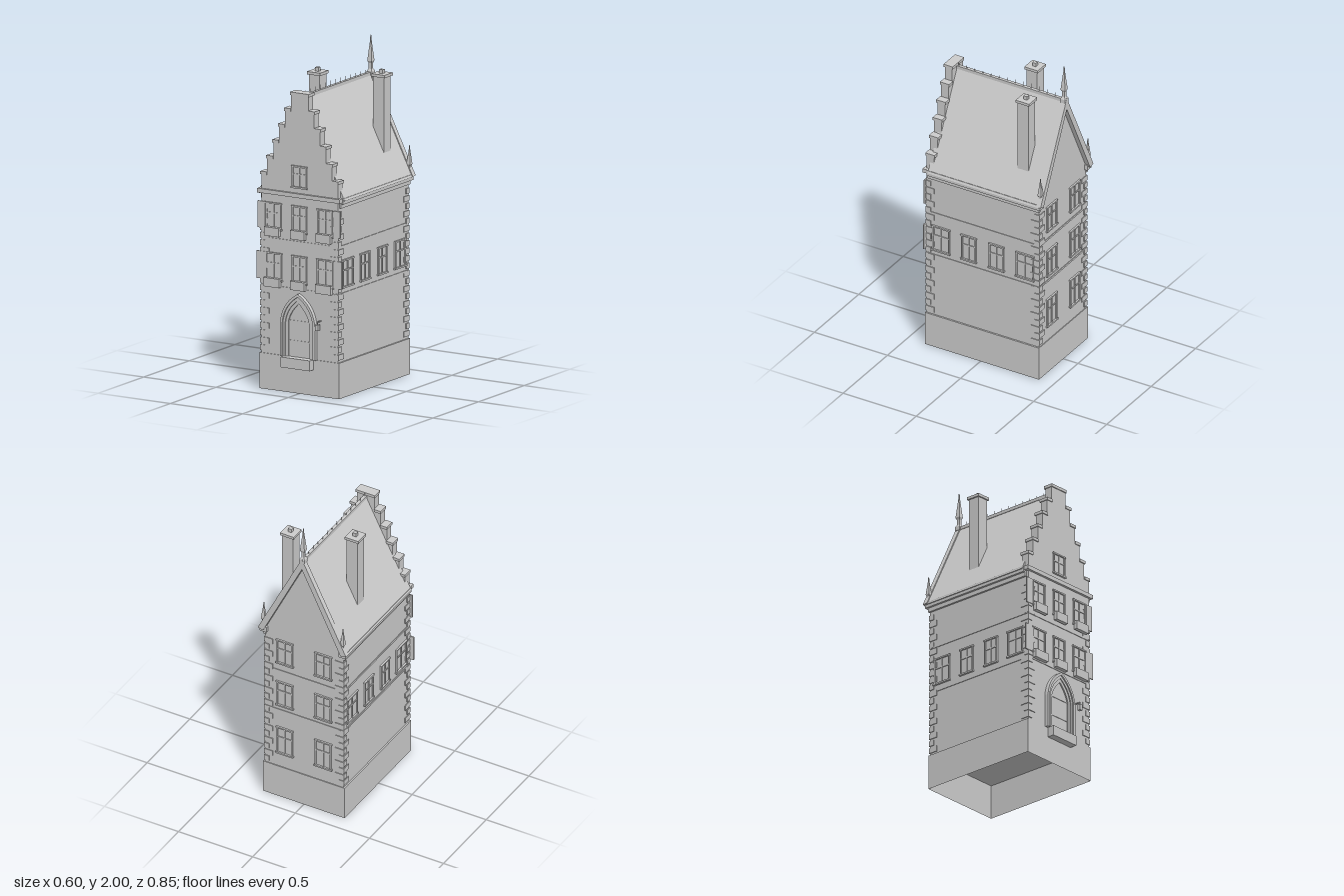
import * as THREE from 'three';

const mat = new THREE.MeshStandardMaterial({ color: 0xcccccc, flatShading: true });
const shellMat = new THREE.MeshStandardMaterial({ color: 0xcccccc, flatShading: true, side: THREE.DoubleSide });

// wall extents
const WX = 0.265, ZF = 0.375, ZB = -0.395, PLINTH = 0.215, EAVE = 1.18;

function add(parent, name, geo, material = mat) {
  const mesh = new THREE.Mesh(geo, material);
  mesh.name = name;
  parent.add(mesh);
  return mesh;
}

// box given by its minimum and maximum on each axis
function box(parent, name, x0, x1, y0, y1, z0, z1) {
  const mesh = add(parent, name, new THREE.BoxGeometry(x1 - x0, y1 - y0, z1 - z0));
  mesh.position.set((x0 + x1) / 2, (y0 + y1) / 2, (z0 + z1) / 2);
  return mesh;
}

// flat outline pushed from z0 to z1
function slab(parent, name, shape, z0, z1) {
  const geo = new THREE.ExtrudeGeometry(shape, { depth: z1 - z0, bevelEnabled: false, curveSegments: 10 });
  geo.translate(0, 0, z0);
  return add(parent, name, geo);
}

const outline = (pts) => new THREE.Shape(pts.map(([x, y]) => new THREE.Vector2(x, y)));

function chevron(ox, oy, otop, ix, iy, itop) {
  return outline([[-ox, oy], [-ix, iy], [0, itop], [ix, iy], [ox, oy], [0, otop]]);
}

// pointed arch standing on the plinth
function arch(w, top) {
  const s = new THREE.Shape();
  s.moveTo(-w, PLINTH);
  s.lineTo(w, PLINTH);
  s.lineTo(w, 0.42);
  s.quadraticCurveTo(w * 0.9, top - 0.06, 0, top);
  s.quadraticCurveTo(-w * 0.9, top - 0.06, -w, 0.42);
  s.closePath();
  return s;
}

// casement window in its own plane, base centre at the origin, facing +z
function makeWindow(w, h) {
  const g = new THREE.Group();
  g.name = 'window';
  const a = w / 2, f = 0.009;
  box(g, 'pane', -a + f, a - f, f, h - f, -0.004, 0.002);
  for (const s of [-1, 1]) {
    const x = s * (a - f / 2);
    box(g, 'frameSide', x - f / 2, x + f / 2, 0, h, -0.004, 0.009);
  }
  box(g, 'frameTop', -a - 0.004, a + 0.004, h - f, h, -0.004, 0.011);
  box(g, 'sill', -a - 0.005, a + 0.005, 0, 0.01, -0.004, 0.013);
  box(g, 'mullion', -0.004, 0.004, f, h - f, 0, 0.007);
  box(g, 'transom', -a + f, a - f, h * 0.62 - 0.004, h * 0.62 + 0.004, 0, 0.007);
  return g;
}

function placeWindow(parent, w, h, x, y, z, turn = 0) {
  const g = makeWindow(w, h);
  g.position.set(x, y, z);
  g.rotation.y = turn;
  parent.add(g);
}

// four-sided spire, heights given as a profile
function finial(parent, x, y, z, half, h) {
  const r = half * Math.SQRT2;
  const pts = [[0, 0], [r, 0], [r, 0.1], [r * 0.5, 0.16], [r * 0.5, 0.3], [r * 0.85, 0.36],
    [r * 0.2, 0.86], [r * 0.12, 1], [0, 1]].map(([a, b]) => new THREE.Vector2(a, b * h));
  const mesh = add(parent, 'finial', new THREE.LatheGeometry(pts, 4));
  mesh.rotation.y = Math.PI / 4;
  mesh.position.set(x, y, z);
}

function buildWalls(house) {
  // hollow plinth, open underneath
  const ring = new THREE.CylinderGeometry(Math.SQRT1_2, Math.SQRT1_2, PLINTH, 4, 1, true);
  ring.rotateY(Math.PI / 4);
  ring.scale(0.55, 1, 0.78);
  ring.translate(0, PLINTH / 2, -0.01);
  add(house, 'plinth', ring, shellMat);
  box(house, 'plinthTop', -0.275, 0.275, PLINTH - 0.004, PLINTH, -0.4, 0.38);
  box(house, 'walls', -WX, WX, PLINTH, EAVE, ZB, ZF);

  // string courses and cornices
  for (const y of [0.615, 0.9]) {
    box(house, 'stringCourse', -WX - 0.004, WX + 0.004, y, y + 0.012, ZB - 0.004, ZF + 0.004);
  }
  box(house, 'frontCornice', -0.285, 0.285, 1.175, 1.2, 0.32, 0.39);
  for (const s of [-1, 1]) {
    const x = s * 0.267;
    box(house, 'eaveMoulding', x - 0.01, x + 0.01, 1.14, 1.17, -0.4, 0.36);
    box(house, 'gutter', x - 0.023, x + 0.023, 1.165, 1.2, -0.415, 0.36);
  }

  // corner quoins, alternately long and short
  for (const sx of [-1, 1]) for (const front of [true, false]) {
    for (let i = 0; i < 20; i++) {
      const y = 0.23 + i * 0.045;
      const dx = i % 2 ? 0.06 : 0.035, dz = i % 2 ? 0.035 : 0.06, o = 0.005;
      const x = sx * (WX + o - dx / 2);
      const z = front ? ZF + o - dz / 2 : ZB - o + dz / 2;
      box(house, 'quoin', x - dx / 2, x + dx / 2, y, y + 0.033, z - dz / 2, z + dz / 2);
    }
  }
}

function buildWindows(house) {
  // front rows with flower boxes and outer shutters
  for (const [y, h, w, out] of [[0.655, 0.17, 0.112, 0.295], [0.96, 0.165, 0.105, 0.285]]) {
    for (const c of [-0.178, 0, 0.178]) {
      const ww = c ? w : 0.1;
      placeWindow(house, ww, h, c, y, ZF);
      const b = ww / 2 - 0.002;
      box(house, 'flowerBox', c - b, c + b, y - 0.033, y + 0.02, 0.382, 0.406);
      if (c) {
        const x = Math.sign(c) * (out + 0.235) / 2, k = (out - 0.235) / 2;
        box(house, 'shutter', x - k, x + k, y + 0.005, y + h, ZF, ZF + 0.008);
      }
    }
  }
  placeWindow(house, 0.1, 0.135, 0, 1.23, ZF);

  // side rows
  for (const s of [-1, 1]) {
    for (const [z, w] of [[0.275, 0.12], [0.085, 0.1], [-0.105, 0.1], [-0.3, 0.12]]) {
      placeWindow(house, w, 0.17, s * WX, 0.655, z, s * Math.PI / 2);
    }
    // back columns
    for (const [y, h] of [[0.31, 0.19], [0.655, 0.175], [0.96, 0.17]]) {
      placeWindow(house, 0.11, h, s * 0.13, y, ZB, Math.PI);
    }
  }
}

function buildDoor(house) {
  // nested arch rings stepping back to the door leaf
  for (const [w, top, wi, ti, z] of [[0.12, 0.6, 0.105, 0.582, 0.4], [0.105, 0.582, 0.09, 0.563, 0.392],
    [0.09, 0.563, 0.072, 0.54, 0.386]]) {
    const s = arch(w, top);
    s.holes.push(arch(wi, ti));
    slab(house, 'doorSurround', s, ZF - 0.005, z);
  }
  slab(house, 'doorLeaf', arch(0.073, 0.541), ZF - 0.005, 0.378);
  for (const y of [0.31, 0.43]) box(house, 'doorRail', -0.07, 0.07, y, y + 0.006, 0.376, 0.381);
  box(house, 'doorStep', -0.1, 0.1, 0.155, 0.217, 0.36, 0.425);
  // lantern on a bracket
  box(house, 'lantern', 0.136, 0.156, 0.402, 0.437, 0.402, 0.422);
  box(house, 'lanternBracket', 0.143, 0.149, 0.45, 0.456, ZF, 0.415);
  box(house, 'lanternHook', 0.144, 0.148, 0.435, 0.455, 0.41, 0.414);
}

function buildRoof(house) {
  slab(house, 'backGable', outline([[-WX, EAVE], [WX, EAVE], [0, 1.745]]), ZB, 0.33);
  slab(house, 'roof', chevron(0.295, 1.185, 1.775, 0.275, 1.18, 1.735), -0.41, 0.35);
  slab(house, 'bargeBoards', chevron(0.298, 1.19, 1.79, 0.262, 1.18, 1.715), -0.424, -0.392);

  // ridge capping with a row of small spikes
  box(house, 'ridgeCap', -0.01, 0.01, 1.762, 1.782, -0.41, 0.34);
  for (let i = 0; i < 13; i++) {
    const spike = add(house, 'ridgeSpike', new THREE.ConeGeometry(0.003, 0.035, 4));
    spike.position.set(0, 1.795, 0.315 - i * 0.055);
  }
  finial(house, 0, 1.76, -0.405, 0.018, 0.24);
  for (const s of [-1, 1]) finial(house, s * 0.267, 1.195, -0.405, 0.015, 0.175);

  // stepped front gable with coping stones
  const steps = [[0.265, 1.3], [0.225, 1.4], [0.182, 1.5], [0.142, 1.6], [0.1, 1.7], [0.06, 1.8]];
  const right = [[WX, EAVE]], left = [];
  steps.forEach(([x, y], i) => {
    right.push([x, y]);
    if (i < 5) right.push([steps[i + 1][0], y]);
  });
  right.forEach(([x, y]) => left.unshift([-x, y]));
  slab(house, 'steppedGable', outline([...right, ...left]), 0.325, ZF);
  steps.forEach(([x, y], i) => {
    const inner = i < 5 ? steps[i + 1][0] : 0;
    for (const s of [-1, 1]) {
      const a = s * inner, b = s * (x + 0.005);
      box(house, 'coping', Math.min(a, b), Math.max(a, b), y - 0.015, y + 0.003, 0.318, ZF + 0.006);
    }
  });

  // chimneys
  for (const [x, z] of [[0.173, -0.252], [-0.175, -0.1]]) {
    box(house, 'chimney', x - 0.037, x + 0.037, 1.34, 1.81, z - 0.037, z + 0.037);
    box(house, 'chimneyCap', x - 0.046, x + 0.046, 1.805, 1.822, z - 0.046, z + 0.046);
    box(house, 'chimneyPot', x - 0.012, x + 0.012, 1.82, 1.845, z - 0.012, z + 0.012);
  }
}

export function createModel() {
  const house = new THREE.Group();
  house.name = 'townHouse';
  buildWalls(house);
  buildWindows(house);
  buildDoor(house);
  buildRoof(house);
  return house;
}
